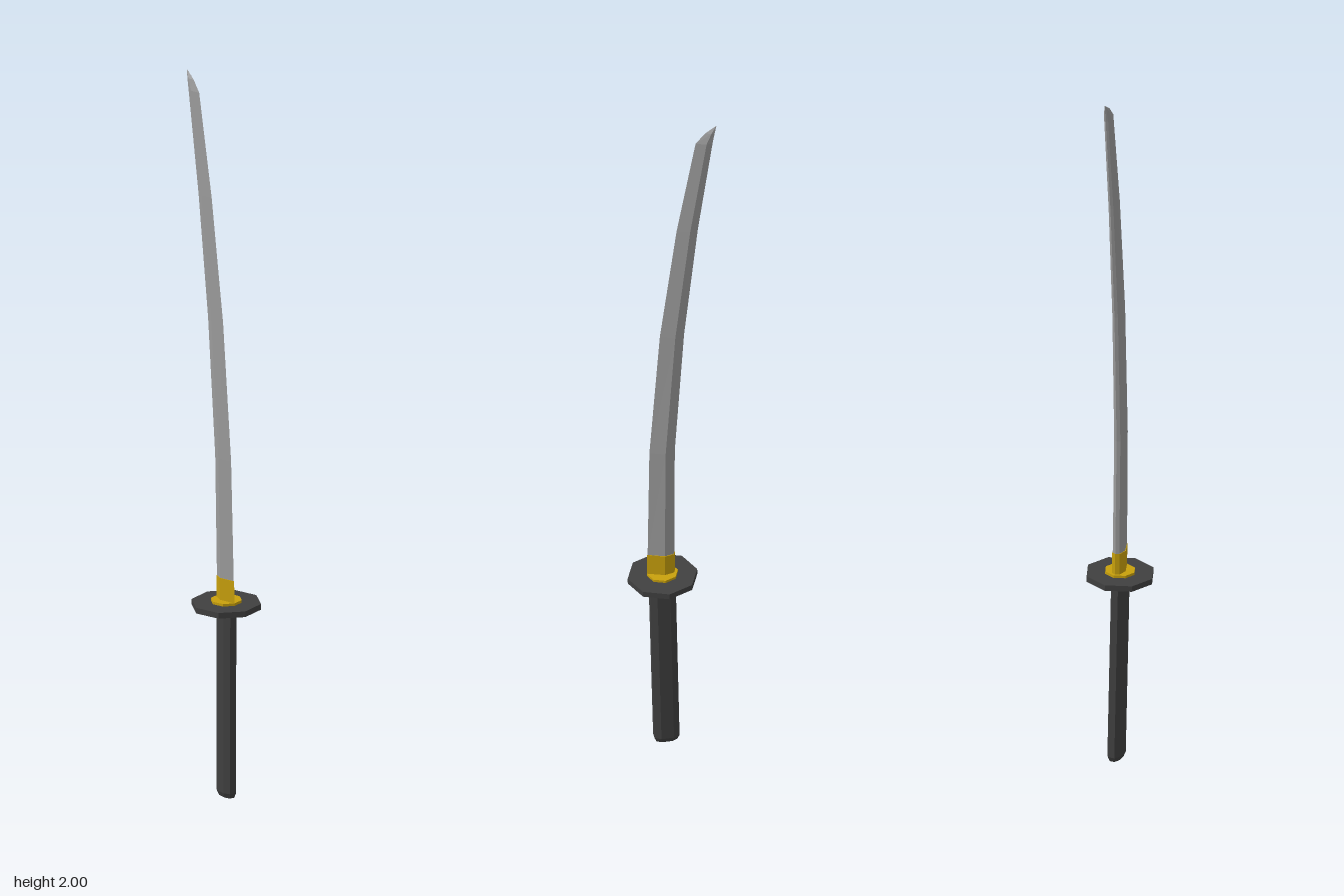
import * as THREE from 'three';

const TWIST = -0.045; // slight turn of the whole sword about its length
const steel = new THREE.MeshStandardMaterial({ name: 'steel', color: 0x9c9c9c, flatShading: true });
const charcoal = new THREE.MeshStandardMaterial({ name: 'charcoal', color: 0x404040, flatShading: true });
const gold = new THREE.MeshStandardMaterial({ name: 'gold', color: 0xc8a00c, flatShading: true });

// The sword leans a little towards -x as it rises
const leanX = (y) => 0.005 - 0.0135 * y;

// Outlines as [x, z] in -1..1, counterclockwise seen from above
const GRIP = [[1, 0.5], [1, -0.5], [0.5, -1], [-0.5, -1], [-1, -0.5], [-1, 0.5], [-0.5, 1], [0.5, 1]];
const BLADE = [[0, 1], [1, -0.2], [0.65, -0.88], [0, -1], [-0.65, -0.88], [-1, -0.2]];

// One cross-section: centre height and z, half sizes
function ring(outline, y, z, halfX, halfZ) {
  const c = Math.cos(TWIST), s = Math.sin(TWIST);
  return outline.map(([px, pz]) => {
    const a = px * halfX, b = pz * halfZ;
    return [leanX(y) + a * c + b * s, y, z - a * s + b * c];
  });
}

// Skin over a stack of cross-sections, closed at both ends
function loft(rings) {
  const pos = [];
  const tri = (a, b, c) => pos.push(...a, ...b, ...c);
  const n = rings[0].length;
  for (let k = 0; k < rings.length - 1; k++) {
    const lo = rings[k], hi = rings[k + 1];
    for (let i = 0; i < n; i++) {
      const j = (i + 1) % n;
      tri(lo[i], lo[j], hi[j]);
      tri(lo[i], hi[j], hi[i]);
    }
  }
  const first = rings[0], last = rings[rings.length - 1];
  for (let i = 1; i < n - 1; i++) {
    tri(first[0], first[i + 1], first[i]);
    tri(last[0], last[i], last[i + 1]);
  }
  const geo = new THREE.BufferGeometry();
  geo.setAttribute('position', new THREE.Float32BufferAttribute(pos, 3));
  geo.computeVertexNormals();
  return geo;
}

export function createModel() {
  const group = new THREE.Group();
  const add = (name, geo, mat) => {
    const mesh = new THREE.Mesh(geo, mat);
    mesh.name = name;
    group.add(mesh);
    return mesh;
  };

  // Handle with a bevelled pommel end
  add('handle', loft([
    ring(GRIP, 0, 0.021, 0.014, 0.028),
    ring(GRIP, 0.014, 0.021, 0.019, 0.034),
    ring(GRIP, 0.53, 0.031, 0.019, 0.035),
  ]), charcoal);

  // Guard and its gold washers, octagonal
  const disc = (name, radius, y, height, mat) => {
    const mesh = add(name, new THREE.CylinderGeometry(radius, radius, height, 8), mat);
    mesh.position.set(leanX(y) + 0.001, y, 0.03);
    mesh.rotation.set(0.018, TWIST, 0.014);
  };
  disc('guard', 0.0945, 0.539, 0.016, charcoal);
  disc('washers', 0.042, 0.539, 0.03, gold);

  // Blade stations: height, z of cutting edge, z of spine, half thickness
  const blade = [
    [0.61, 0.07, -0.003, 0.015],
    [0.95, 0.064, -0.005, 0.014],
    [1.33, 0.034, -0.032, 0.0125],
    [1.67, -0.013, -0.071, 0.011],
    [1.95, -0.066, -0.113, 0.009],
    [1.98, -0.092, -0.119, 0.006],
    [2.0, -0.122, -0.123, 0.0005],
  ];
  const station = ([y, edge, spine, half]) => ring(BLADE, y, (edge + spine) / 2, half, (edge - spine) / 2);
  add('blade', loft(blade.map(station)), steel);

  // Collar wrapped round the foot of the blade
  add('bladeCollar', loft([
    [0.545, 0.072, -0.004, 0.017],
    [0.615, 0.072, -0.004, 0.017],
  ].map(station)), gold);

  return group;
}
